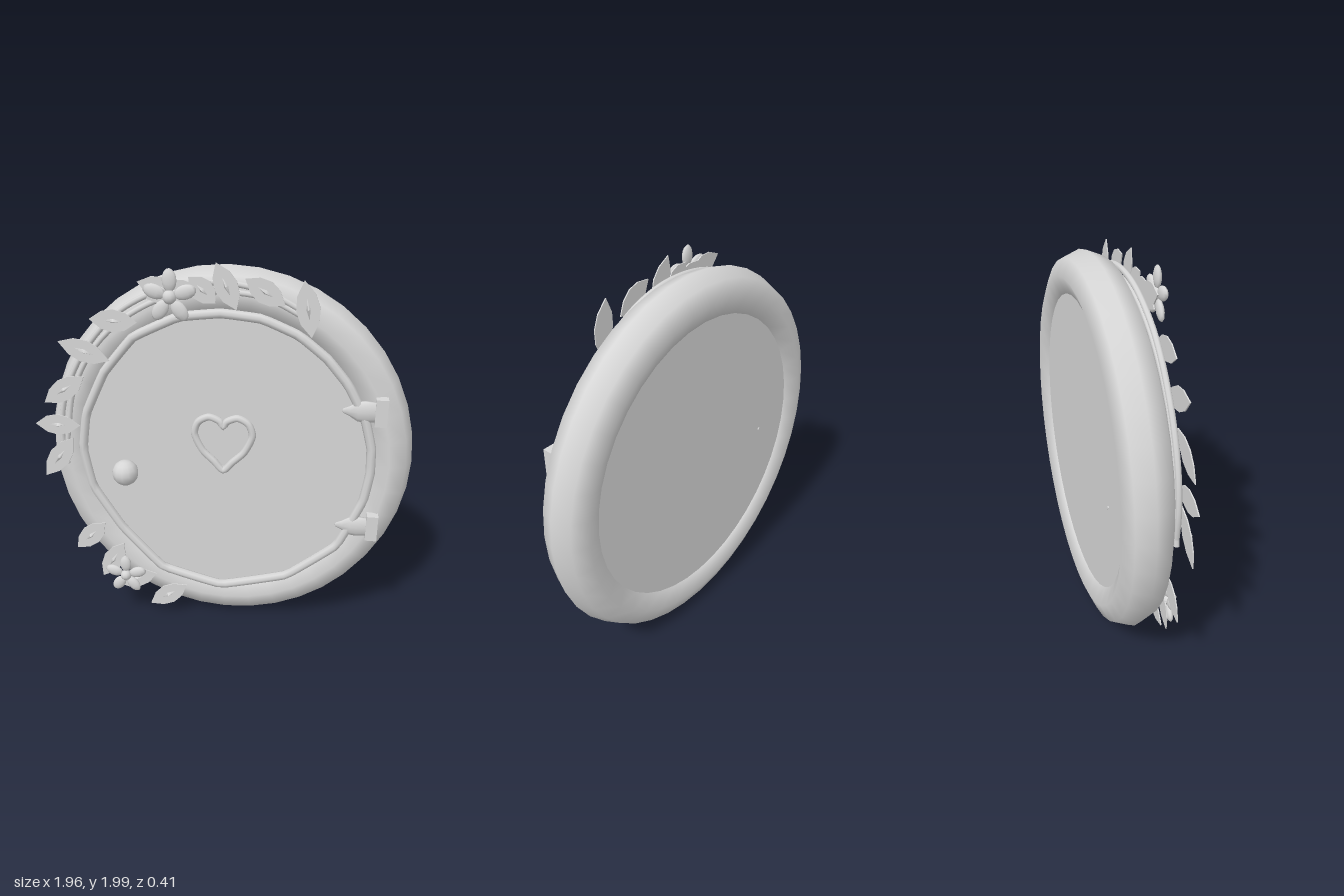
import * as THREE from 'three';

const stone = new THREE.MeshStandardMaterial({ color: 0xd6d6d6, side: THREE.DoubleSide });
stone.name = 'light grey';

export function createModel() {
  const root = new THREE.Group();
  root.name = 'roundDoor';

  const add = (name, geometry, x = 0, y = 0, z = 0, parent = root) => {
    const mesh = new THREE.Mesh(geometry, stone);
    mesh.name = name;
    mesh.position.set(x, y, z);
    parent.add(mesh);
    return mesh;
  };
  // Smooth path through flat [x, y] points at a fixed depth
  const pathOf = (pts, z, closed, tension) => new THREE.CatmullRomCurve3(
    pts.map(([x, y]) => new THREE.Vector3(x, y, z)), closed, 'catmullrom', tension);
  const tube = (name, path, radius, segments) =>
    add(name, new THREE.TubeGeometry(path, segments, radius, 8, path.closed));
  const flatPoints = (path, n) => path.getPoints(n).slice(0, n).map((p) => new THREE.Vector2(p.x, p.y));

  // Thick round frame
  const frame = add('frame', new THREE.TorusGeometry(0.835, 0.12, 8, 40), 0.016, 0.985, -0.078);
  frame.rotation.z = Math.PI / 2;
  frame.scale.set(1.026, 1.007, 1.03);

  // Uneven hand-made trim around the panel
  const trimPath = pathOf([
    [0, 1.755], [0.2, 1.735], [0.38, 1.66], [0.52, 1.55], [0.63, 1.42], [0.72, 1.25], [0.76, 1.1],
    [0.765, 0.96], [0.74, 0.8], [0.62, 0.525], [0.36, 0.315], [0, 0.22], [-0.33, 0.305],
    [-0.55, 0.54], [-0.7, 0.78], [-0.74, 1], [-0.71, 1.2], [-0.6, 1.43], [-0.44, 1.62], [-0.21, 1.73],
  ], 0.06, true, 0.1);
  tube('trim', trimPath, 0.024, 100);

  // Raised heart outline
  const heartPath = pathOf([
    [0.01, 1.165], [0.03, 1.195], [0.085, 1.215], [0.14, 1.185], [0.16, 1.12], [0.12, 1.03], [0.06, 0.97],
    [0.01, 0.92], [-0.04, 0.97], [-0.1, 1.03], [-0.14, 1.12], [-0.12, 1.185], [-0.065, 1.215], [-0.01, 1.195],
  ], 0.05, true, 0.4);
  tube('heartOutline', heartPath, 0.019, 80);

  // Door: round back panel and a front panel with a sunken heart
  const back = new THREE.CylinderGeometry(0.765, 0.765, 0.16, 48).rotateX(Math.PI / 2).scale(1, 1.026, 1);
  add('backPanel', back, 0.012, 0.985, -0.082);
  const face = new THREE.Shape(flatPoints(trimPath, 80));
  face.holes.push(new THREE.Path(flatPoints(heartPath, 60)));
  add('frontPanel', new THREE.ExtrudeGeometry(face, { depth: 0.04, bevelEnabled: false }), 0, 0, -0.005);

  // Knob with its pin through the panel
  add('knob', new THREE.SphereGeometry(0.069, 12, 8), -0.495, 0.91, 0.135);
  add('knobPin', new THREE.CylinderGeometry(0.022, 0.008, 0.27, 8).rotateX(Math.PI / 2), -0.495, 0.91, -0.033);

  // Hinges: block plus rounded strap tapering to a tip
  const strap = new THREE.LatheGeometry([
    [0, 0], [0.012, 0.004], [0.026, 0.035], [0.052, 0.075], [0.057, 0.11], [0.05, 0.19], [0, 0.2],
  ].map(([r, h]) => new THREE.Vector2(r, h)), 10).rotateZ(-Math.PI / 2).scale(1, 1, 0.45);
  for (const y of [1.295, 0.655]) {
    const hinge = new THREE.Group();
    hinge.name = 'hinge';
    add('hingeBlock', new THREE.BoxGeometry(0.06, 0.14, 0.055), 0.795, y, 0.062, hinge);
    add('hingeStrap', strap, 0.605, y, 0.065, hinge);
    root.add(hinge);
  }

  // Vine strands along the frame
  tube('outerVine', pathOf([
    [-0.84, 0.9], [-0.855, 1.1], [-0.81, 1.32], [-0.69, 1.55], [-0.5, 1.75], [-0.25, 1.87],
    [0.0, 1.9], [0.22, 1.86], [0.42, 1.76],
  ], 0.047, false, 0.5), 0.015, 60);
  tube('innerVine', pathOf([
    [-0.85, 0.9], [-0.815, 1.12], [-0.77, 1.33], [-0.65, 1.55], [-0.47, 1.72], [-0.23, 1.835],
    [0.02, 1.855], [0.22, 1.83], [0.41, 1.74],
  ], 0.047, false, 0.5), 0.014, 60);

  // Nearly flat leaf blade: half widths along a unit length
  const widths = [0, 0.38, 0.5, 0.38, 0];
  const blade = new THREE.Shape();
  blade.moveTo(-0.5, 0);
  for (const s of [1, -1]) {
    for (let k = 1; k <= 4; k++) {
      blade.lineTo(s * (k / 4 - 0.5), s * widths[k]);
    }
  }
  const leafGeo = new THREE.ExtrudeGeometry(blade, { depth: 0.006, bevelEnabled: false });
  // Narrow peaked vein
  const vein = new THREE.ConeGeometry(1, 1, 4).rotateX(Math.PI / 2).scale(0.2, 0.1, 0.024);

  // Leaves from tail [x1, y1] to tip [x2, y2]
  [
    [-0.02, 2.0, 0.08, 1.78], [0.12, 1.93, 0.31, 1.81], [0.395, 1.93, 0.44, 1.66],
    [-0.15, 1.93, -0.02, 1.81], [-0.4, 1.9, -0.17, 1.84], [-0.36, 1.82, -0.1, 1.89],
    [-0.65, 1.71, -0.41, 1.7], [-0.82, 1.59, -0.56, 1.5], [-0.92, 1.26, -0.7, 1.41],
    [-0.98, 1.14, -0.74, 1.14], [-0.95, 0.84, -0.78, 1.07], [-0.81, 0.4, -0.64, 0.57],
    [-0.67, 0.23, -0.54, 0.45], [-0.6, 0.19, -0.36, 0.27], [-0.4, 0.07, -0.19, 0.21],
  ].forEach(([x1, y1, x2, y2]) => {
    const leaf = new THREE.Group();
    leaf.name = 'leaf';
    leaf.position.set((x1 + x2) / 2, (y1 + y2) / 2, 0.085);
    leaf.rotation.z = Math.atan2(y2 - y1, x2 - x1);
    leaf.scale.set(Math.hypot(x2 - x1, y2 - y1), 0.115, 1);
    add('leafBlade', leafGeo, 0, 0, 0, leaf);
    add('leafVein', vein, 0, 0, 0.016, leaf);
    root.add(leaf);
  });

  // Five-petalled flowers
  const petal = new THREE.SphereGeometry(1, 10, 8);
  for (const [x, y, r] of [[-0.23, 1.845, 0.13], [-0.52, 0.285, 0.115]]) {
    const flower = new THREE.Group();
    flower.name = 'flower';
    flower.position.set(x, y, 0.145);
    for (let i = 0; i < 5; i++) {
      const a = Math.PI / 2 + (i * Math.PI * 2) / 5;
      const p = add('petal', petal, Math.cos(a) * r * 0.6, Math.sin(a) * r * 0.6, 0, flower);
      p.rotation.z = a;
      p.scale.set(r * 0.43, r * 0.27, 0.018);
    }
    add('flowerCentre', petal, 0, 0, 0.005, flower).scale.set(r * 0.26, r * 0.26, 0.03);
    root.add(flower);
  }
  return root;
}
